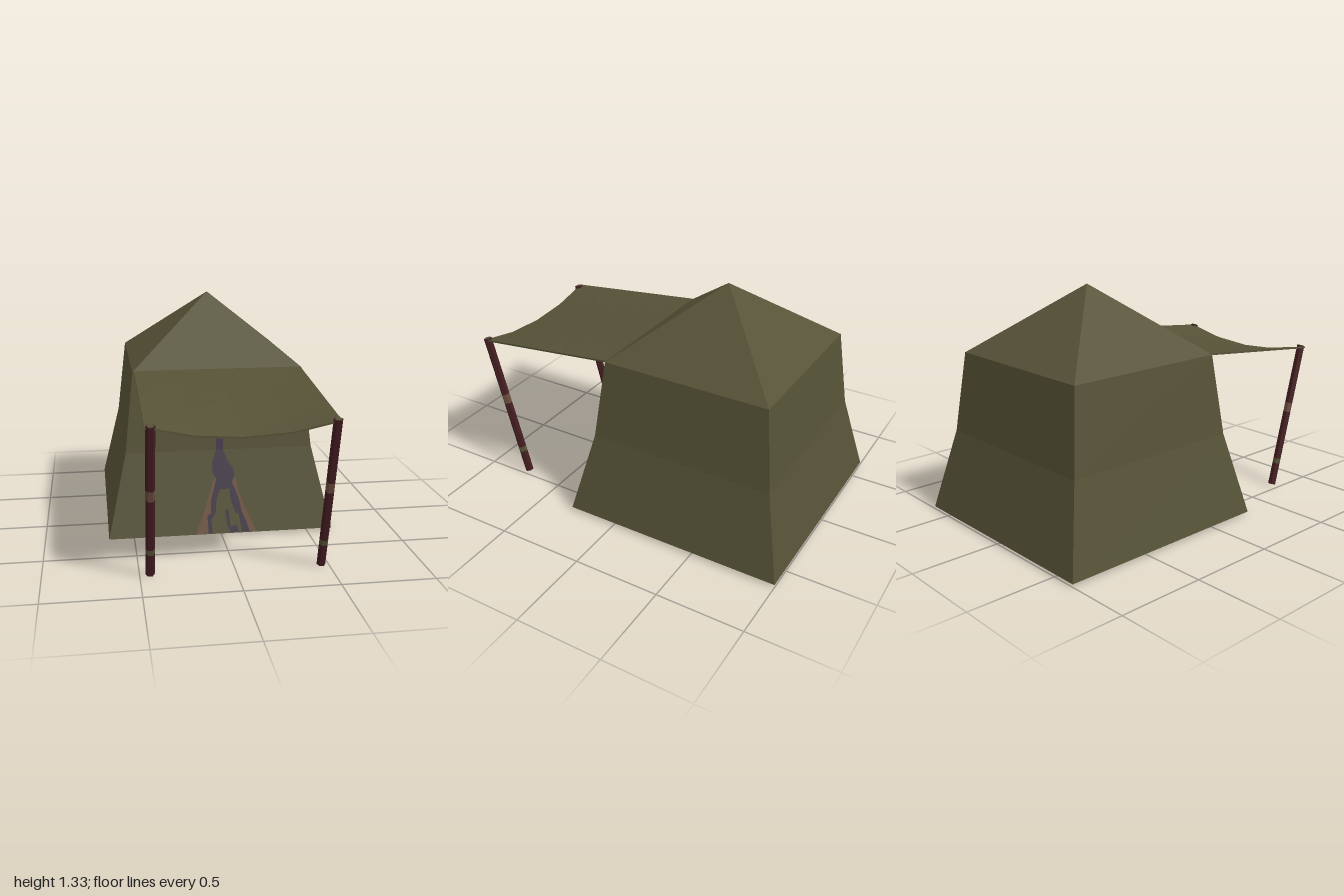
import * as THREE from 'three';

const mat = (name, color, opts = {}) =>
  Object.assign(new THREE.MeshStandardMaterial({ color, flatShading: true, ...opts }), { name });

export function createModel() {
  const two = { side: THREE.DoubleSide };
  const canvas = mat('olive canvas', 0x565237, two);
  const wood = mat('dark red wood', 0x421c1f);
  const binding = mat('brown binding', 0x664a3c);
  const cord = mat('olive cord', 0x565038);
  const purple = mat('purple opening', 0x443c4a, two);
  const trim = mat('dusty trim', 0x705543, two);

  const model = new THREE.Group();
  const add = (parent, name, geometry, material) => {
    const mesh = new THREE.Mesh(geometry, material);
    mesh.name = name;
    parent.add(mesh);
    return mesh;
  };

  // Square tent: flared walls below a pyramid roof, open underneath
  const zc = -0.356;
  const rings = [[0.015, 0.643], [0.485, 0.535], [0.94, 0.483], [1.327, 0]];
  const tent = new THREE.Group();
  tent.name = 'tent';
  tent.position.z = zc;
  model.add(tent);
  ['lowerWalls', 'upperWalls', 'roof'].forEach((name, i) => {
    const [y0, r0] = rings[i], [y1, r1] = rings[i + 1];
    const g = new THREE.CylinderGeometry(r1 * Math.SQRT2, r0 * Math.SQRT2, y1 - y0, 4, 1, true);
    g.rotateY(Math.PI / 4).translate(0, (y0 + y1) / 2, 0);
    add(tent, name, g, canvas);
  });

  // Painted doorway, laid on both faces of the sloping front wall
  const wallZ = y => zc + (y < 0.485
    ? 0.643 - (y - 0.015) / 0.47 * 0.108
    : 0.535 - (y - 0.485) / 0.455 * 0.052);
  const paint = (name, points, material) => {
    const shape = new THREE.Shape(points.map(p => new THREE.Vector2(...p)));
    for (const offset of [0.003, -0.003]) {
      const g = new THREE.ShapeGeometry(shape);
      const p = g.attributes.position;
      for (let i = 0; i < p.count; i++) p.setZ(i, wallZ(p.getY(i)) + offset);
      g.computeVertexNormals();
      add(model, name, g, material);
    }
  };
  paint('doorTip', [[-0.02, 0.485], [0.02, 0.485], [0.02, 0.58], [0.005, 0.6], [-0.01, 0.6], [-0.022, 0.57]], purple);
  paint('doorOpening', [
    [-0.02, 0.485], [-0.045, 0.42], [-0.045, 0.36], [-0.025, 0.32], [-0.06, 0.2], [-0.06, 0.13], [-0.082, 0.12],
    [-0.078, 0.02], [-0.055, 0.02], [-0.06, 0.1], [-0.035, 0.13], [-0.025, 0.21], [-0.005, 0.265],
    [0.05, 0.265], [0.055, 0.2], [0.08, 0.13], [0.1, 0.12], [0.115, 0.02],
    [0.16, 0.02], [0.145, 0.07], [0.115, 0.14], [0.105, 0.2], [0.08, 0.27], [0.065, 0.3],
    [0.08, 0.34], [0.075, 0.38], [0.045, 0.42], [0.02, 0.485],
  ], purple);
  paint('doorFold', [[0.02, 0.15], [0.03, 0.07], [0.05, 0.02], [0.1, 0.02], [0.085, 0.06], [0.05, 0.05], [0.04, 0.15]], purple);
  paint('doorTrimRight', [
    [-0.15, 0.02], [-0.1, 0.14], [-0.035, 0.335], [-0.025, 0.32], [-0.06, 0.2], [-0.06, 0.13], [-0.082, 0.12], [-0.078, 0.02],
  ], trim);
  paint('doorTrimLeft', [
    [0.2, 0.02], [0.14, 0.15], [0.1, 0.25], [0.09, 0.32], [0.077, 0.32], [0.065, 0.3], [0.08, 0.27],
    [0.105, 0.2], [0.115, 0.14], [0.145, 0.07], [0.16, 0.02],
  ], trim);

  // Awning: thin sheet, straight at the eave and sagging along its front edge
  const sag = [0.85, 0.799, 0.783, 0.799, 0.85];
  const awning = new THREE.BoxGeometry(0.95, 0.01, 1, 4, 1, 6);
  const p = awning.attributes.position;
  for (let i = 0; i < p.count; i++) {
    const t = p.getZ(i) + 0.5;
    const column = Math.round((p.getX(i) / 0.95 + 0.5) * 4);
    p.setY(i, p.getY(i) + THREE.MathUtils.lerp(0.94, sag[column], t));
    p.setZ(i, THREE.MathUtils.lerp(0.125, 0.98, t));
  }
  awning.computeVertexNormals();
  add(model, 'awning', awning, canvas);

  // Leaning hexagonal poles with two flush bindings and a pale cut end
  const foot = new THREE.Vector3(0, 0.006, 0.75), head = new THREE.Vector3(0, 0.858, 0.977);
  const length = foot.distanceTo(head);
  const sections = [
    ['poleFoot', 0, 0.152, wood], ['lowerBinding', 0.152, 0.187, cord], ['poleMiddle', 0.187, 0.525, wood],
    ['upperBinding', 0.525, 0.591, binding], ['poleTop', 0.591, 1, wood], ['poleEnd', 1, 1.003, cord],
  ];
  for (const [name, x] of [['rightPole', -0.446], ['leftPole', 0.459]]) {
    const pole = new THREE.Group();
    pole.name = name;
    pole.position.set(x, foot.y, foot.z);
    pole.rotation.x = Math.atan2(head.z - foot.z, head.y - foot.y);
    for (const [part, a, b, material] of sections) {
      const r = part === 'poleEnd' ? 0.019 : 0.024;
      const g = new THREE.CylinderGeometry(r, r, (b - a) * length, 6);
      g.rotateY(Math.PI / 6).translate(0, (a + b) / 2 * length, 0);
      add(pole, part, g, material);
    }
    model.add(pole);
  }
  return model;
}
